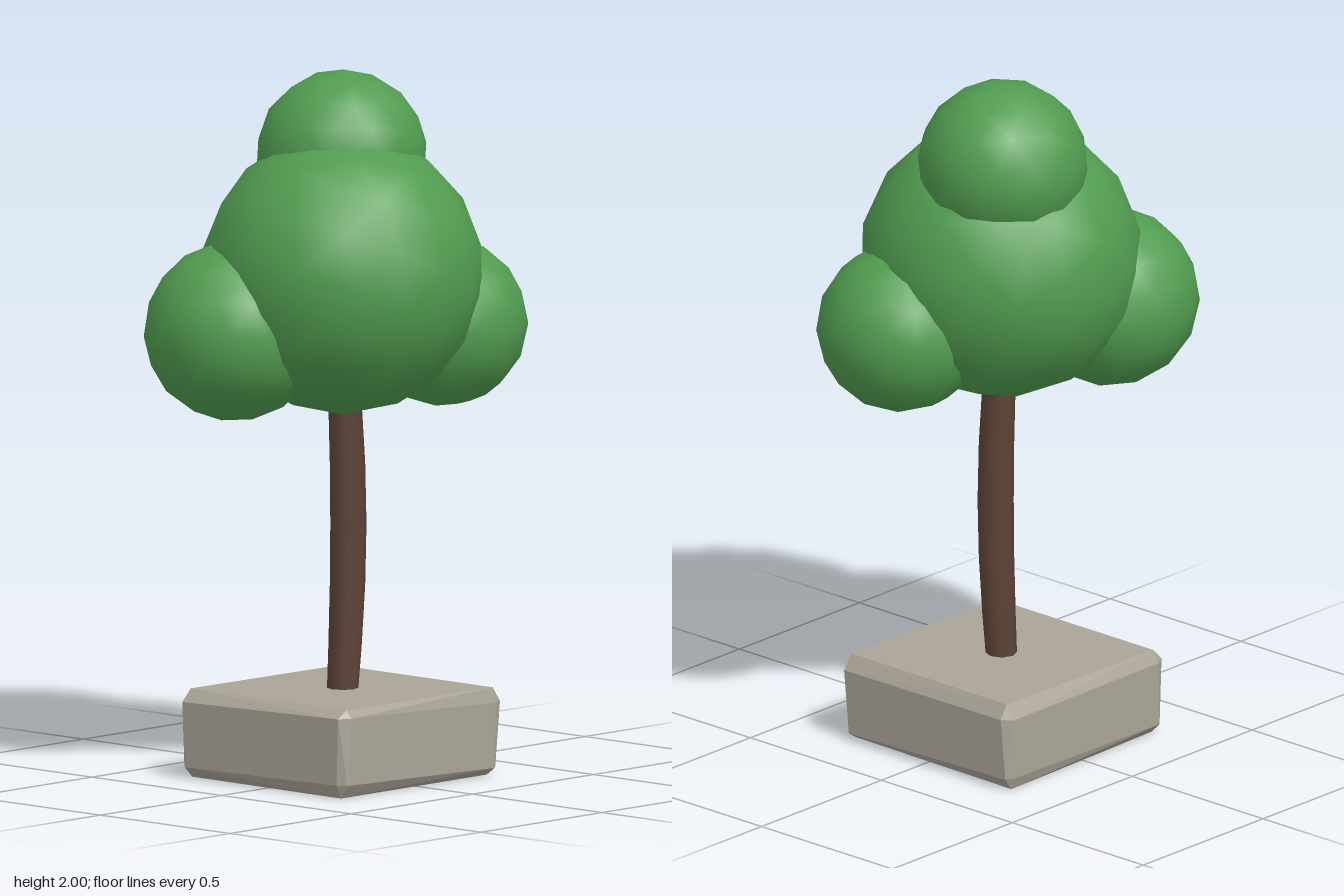
import * as THREE from 'three';
import { ConvexGeometry } from 'three/addons/geometries/ConvexGeometry.js';

const material = (name, color) => {
  const m = new THREE.MeshStandardMaterial({ color });
  m.name = name;
  return m;
};

export function createModel() {
  const leafGreen = material('leafGreen', 0x519c50);
  const barkBrown = material('barkBrown', 0x5d4337);
  const stoneGrey = material('stoneGrey', 0xaaa497);

  const tree = new THREE.Group();
  tree.name = 'tree';
  const add = (name, geometry, mat) => {
    const mesh = new THREE.Mesh(geometry, mat);
    mesh.name = name;
    tree.add(mesh);
    return mesh;
  };

  // Stone block: each corner is cut by its own uneven amounts
  // [sign x, sign y, sign z, inset x, inset y, inset z]
  const corners = [
    [1, 1, 1, 0.03, 0.042, 0.012], [-1, 1, 1, 0.035, 0.022, 0.02],
    [1, 1, -1, 0.026, 0.04, 0.03], [-1, 1, -1, 0.035, 0.035, 0.02],
    [1, -1, 1, 0.035, 0.022, 0.03], [-1, -1, 1, 0.018, 0.038, 0.025],
    [1, -1, -1, 0.025, 0.035, 0.012], [-1, -1, -1, 0.03, 0.03, 0.03],
  ];
  const points = [];
  for (const [sx, sy, sz, dx, dy, dz] of corners) {
    const x = sx * 0.33, y = sy * 0.125, z = sz * 0.32;
    const ix = x - sx * dx, iy = y - sy * dy, iz = z - sz * dz;
    points.push(
      new THREE.Vector3(x, iy, iz),
      new THREE.Vector3(ix, y, iz),
      new THREE.Vector3(ix, iy, z),
    );
  }
  add('stoneBase', new ConvexGeometry(points), stoneGrey).position.set(0, 0.13, -0.01);

  // Trunk: a low-sided cylinder that bows sideways and swells in the middle
  const bottom = 0.2, height = 1.04;
  const trunk = new THREE.CylinderGeometry(1, 1, height, 8, 6);
  const pos = trunk.attributes.position;
  for (let i = 0; i < pos.count; i++) {
    const t = pos.getY(i) / height + 0.5;
    const bow = Math.sin(Math.PI * t);
    const r = 0.043 + 0.008 * bow;
    pos.setXYZ(i, pos.getX(i) * r + 0.002 + 0.028 * bow, bottom + t * height, pos.getZ(i) * r - 0.006);
  }
  add('trunk', trunk, barkBrown);

  // Foliage: smooth faceted balls, each turned a little differently
  const balls = [
    ['mainFoliage', 0.4, [-0.005, 1.44, 0.005], [0.3, 0.4, 0.1]],
    ['topFoliage', 0.242, [0.07, 1.76, -0.07], [0.1, 0.9, 0.2]],
    ['leftFoliage', 0.24, [0.288, 1.28, 0.118], [0.6, 0.2, 0.3]],
    ['rightFoliage', 0.255, [-0.28, 1.287, -0.157], [0.2, 1.3, 0.5]],
  ];
  for (const [name, radius, position, rotation] of balls) {
    const ball = add(name, new THREE.IcosahedronGeometry(radius, 2), leafGreen);
    ball.position.set(...position);
    ball.rotation.set(...rotation);
  }

  return tree;
}
